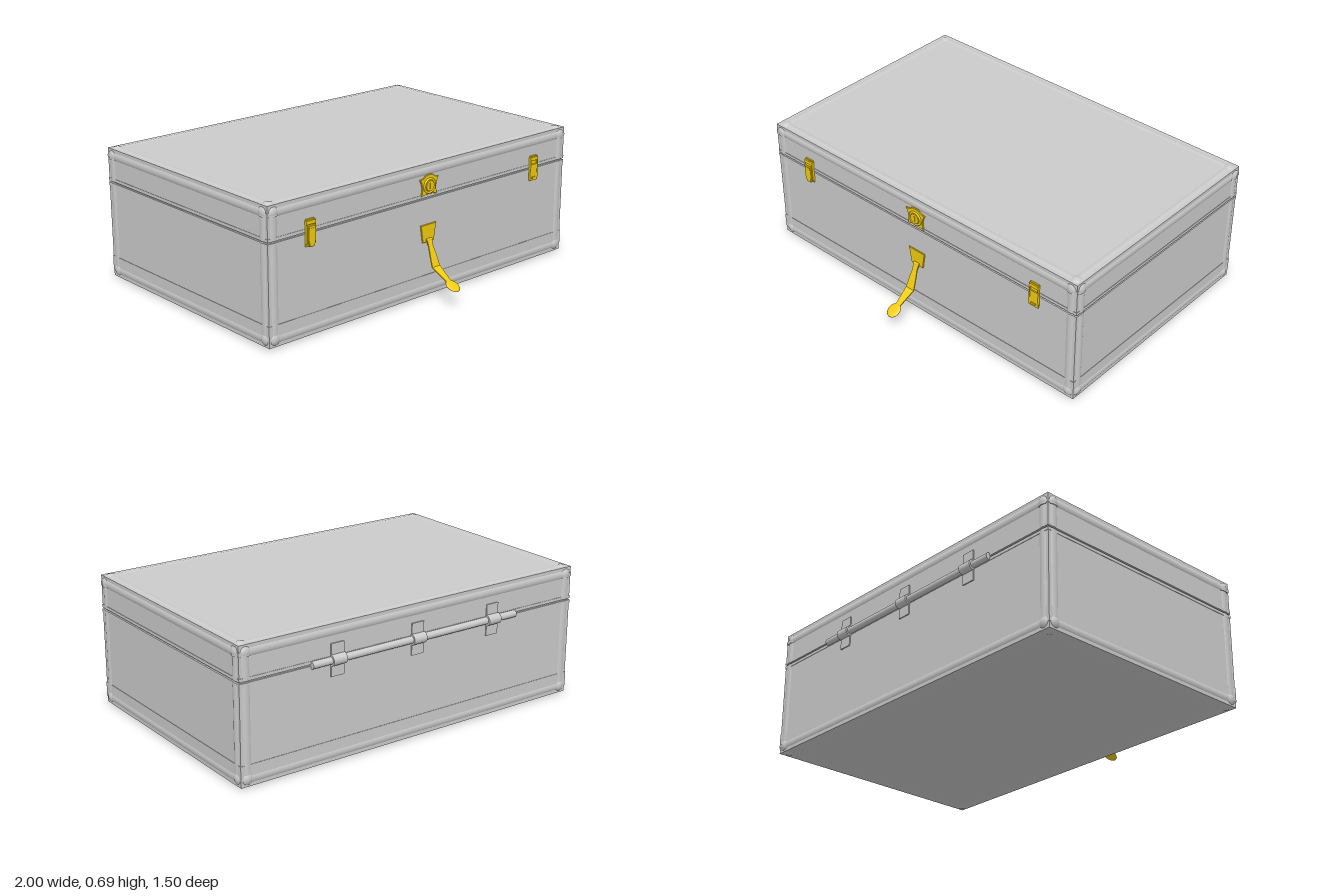
import * as THREE from 'three';

const GREY = new THREE.MeshStandardMaterial({ color: 0xcccccc });
const GOLD = new THREE.MeshStandardMaterial({ color: 0xf2cc0c });

// case extents
const ZC = -0.088, HX = 0.995, HZ = 0.632, Y0 = 0.006, Y1 = 0.686, SEAM = 0.51, R = 0.04;
const FRONT = ZC + HZ - 0.005;

export function createModel() {
  const root = new THREE.Group();

  function add(name, geo, mat, x, y, z, parent = root) {
    const m = new THREE.Mesh(geo, mat);
    m.name = name;
    m.position.set(x, y, z);
    parent.add(m);
    return m;
  }
  const box = (name, w, h, d, x, y, z, mat = GREY, parent = root) =>
    add(name, new THREE.BoxGeometry(w, h, d), mat, x, y, z, parent);
  // full-size slab of the case between two heights, inset from the trim
  const slab = (name, a, b, inset) =>
    box(name, 2 * (HX - inset), b - a, 2 * (HZ - inset), 0, (a + b) / 2, ZC);
  function plate(shape, depth, bevel = 0.002) {
    return new THREE.ExtrudeGeometry(shape, {
      depth, bevelEnabled: true, bevelSize: bevel, bevelThickness: bevel, bevelSegments: 1, curveSegments: 8,
    });
  }
  const polygon = pts => new THREE.Shape(pts.map(p => new THREE.Vector2(...p)));

  // panels, with a recessed seam and lips on either side of it
  const mid = (a, b, y) => { slab('basePanels', a, y, 0.005); slab('lidPanels', y + 0.008, b, 0.005); };
  mid(Y0 + 0.003, Y1 - 0.003, SEAM - 0.004);
  slab('seamCore', SEAM - 0.01, SEAM + 0.01, 0.012);
  slab('baseLip', SEAM - 0.02, SEAM - 0.004, 0.003);
  slab('lidLip', SEAM + 0.004, SEAM + 0.02, 0.003);
  slab('baseBand', 0.04, 0.115, 0.003);
  slab('lidBand', 0.632, 0.65, 0.003);

  // rounded edge trim and corner caps
  const ex = HX - R, ez = HZ - R, yLow = Y0 + R, yHigh = Y1 - R;
  function rod(name, len, x, y, z, axis) {
    const m = add(name, new THREE.CylinderGeometry(R, R, len, 24), GREY, x, y, z);
    if (axis === 'x') m.rotation.z = Math.PI / 2;
    if (axis === 'z') m.rotation.x = Math.PI / 2;
  }
  for (const s of [-1, 1]) {
    for (const y of [yLow, yHigh]) {
      rod('longTrim', 2 * ex, 0, y, ZC + s * ez, 'x');
      rod('shortTrim', 2 * ez, s * ex, y, ZC, 'z');
    }
    for (const t of [-1, 1]) {
      const x = s * ex, z = ZC + t * ez;
      rod('lowerCornerTrim', SEAM - 0.004 - yLow, x, (yLow + SEAM - 0.004) / 2, z);
      rod('upperCornerTrim', yHigh - SEAM - 0.004, x, (yHigh + SEAM + 0.004) / 2, z);
      for (const y of [yLow, yHigh])
        add('cornerCap', new THREE.SphereGeometry(R + 0.005, 24, 16), GREY, x, y, z);
      add('cornerCollar', new THREE.CylinderGeometry(R + 0.004, R + 0.004, 0.02, 24), GREY, x, yHigh - 0.008, z);
    }
  }

  // back hinge: pin, knuckles and leaves
  const hinge = new THREE.Group();
  hinge.name = 'hinge';
  root.add(hinge);
  const back = ZC - HZ;
  add('hingePin', new THREE.CylinderGeometry(0.018, 0.018, 1.22, 20), GREY, 0, SEAM, back, hinge).rotation.z = Math.PI / 2;
  for (const x of [-0.465, 0, 0.465]) {
    add('hingeKnuckle', new THREE.CylinderGeometry(0.027, 0.027, 0.075, 24), GREY, x, SEAM, back, hinge).rotation.z = Math.PI / 2;
    box('hingeLeaf', 0.072, 0.16, 0.008, x, SEAM, back + 0.003, GREY, hinge);
  }

  // front latches
  for (const s of [-1, 1]) {
    const latch = new THREE.Group();
    latch.name = s < 0 ? 'rightLatch' : 'leftLatch';
    latch.position.set(s * 0.75, SEAM, FRONT);
    root.add(latch);
    box('latchPlate', 0.05, 0.13, 0.008, 0, 0, 0.003, GOLD, latch);
    box('latchCatch', 0.056, 0.018, 0.016, 0, 0.05, 0.006, GOLD, latch);
    if (s < 0) {
      add('latchLever', plate(polygon([[-0.02, 0.035], [-0.021, -0.03], [-0.012, -0.062], [0.012, -0.062],
        [0.021, -0.03], [0.02, 0.035]]), 0.012), GOLD, 0, 0, 0.008, latch);
      box('latchGrip', 0.036, 0.01, 0.012, 0, 0.02, 0.018, GOLD, latch);
    } else {
      box('latchLever', 0.056, 0.085, 0.006, 0, -0.022, 0.01, GOLD, latch);
      box('latchGrip', 0.03, 0.01, 0.006, 0, -0.05, 0.014, GOLD, latch);
    }
    for (const t of [-1, 1]) box('latchRail', 0.005, 0.1, 0.012, t * 0.024, 0, 0.008, GOLD, latch);
  }

  // lock: flared escutcheon, ring and barrel
  const lock = new THREE.Group();
  lock.name = 'lock';
  lock.position.set(0, 0.572, FRONT);
  root.add(lock);
  const flare = new THREE.Shape();
  flare.moveTo(-0.06, 0.036);
  flare.quadraticCurveTo(-0.03, 0.038, -0.025, 0.05);
  flare.quadraticCurveTo(0, 0.058, 0.025, 0.05);
  flare.quadraticCurveTo(0.03, 0.038, 0.06, 0.036);
  flare.quadraticCurveTo(0.036, 0, 0.05, -0.046);
  flare.quadraticCurveTo(0, -0.034, -0.05, -0.046);
  flare.quadraticCurveTo(-0.036, 0, -0.06, 0.036);
  add('lockPlate', plate(flare, 0.005), GOLD, 0, 0, 0, lock);
  add('lockRing', new THREE.TorusGeometry(0.034, 0.006, 8, 24), GOLD, 0, 0, 0.008, lock);
  add('lockBarrel', new THREE.CylinderGeometry(0.026, 0.03, 0.012, 24), GOLD, 0, 0, 0.008, lock).rotation.x = Math.PI / 2;
  box('keySlot', 0.008, 0.028, 0.005, 0, 0, 0.014, GOLD, lock);

  // hasp: mounting plate with a bent strap ending in an oval tab
  const hasp = new THREE.Group();
  hasp.name = 'hasp';
  root.add(hasp);
  add('haspPlate', plate(polygon([[-0.05, 0.375], [-0.036, 0.288], [0.036, 0.288], [0.05, 0.375]]), 0.004),
    GOLD, 0, 0, FRONT, hasp);
  add('haspPivot', new THREE.CylinderGeometry(0.007, 0.007, 0.036, 12), GOLD, 0, 0.298, FRONT + 0.008, hasp).rotation.z = Math.PI / 2;

  // strap sections: height, depth, half width
  const strap = [[0.3, 0.549, 0.016], [0.265, 0.562, 0.015], [0.22, 0.58, 0.021], [0.172, 0.599, 0.025],
    [0.145, 0.645, 0.019], [0.118, 0.69, 0.014]];
  const n = strap.length - 1;
  let geo = new THREE.BoxGeometry(2, 1, n, 1, 1, n);
  const p = geo.attributes.position;
  for (let i = 0; i < p.count; i++) {
    const [y, z, w] = strap[Math.round(p.getZ(i) + n / 2)];
    const off = p.getY(i) * 0.007;
    p.setXYZ(i, p.getX(i) * w, y + off * 0.65, z + off * 0.75);
  }
  geo = geo.toNonIndexed();
  geo.computeVertexNormals();
  add('haspStrap', geo, GOLD, 0, 0, 0, hasp);
  const tab = add('haspTab', new THREE.SphereGeometry(1, 24, 12), GOLD, 0, 0.105, 0.715, hasp);
  tab.scale.set(0.035, 0.006, 0.04);
  tab.rotation.x = 0.515;

  return root;
}
